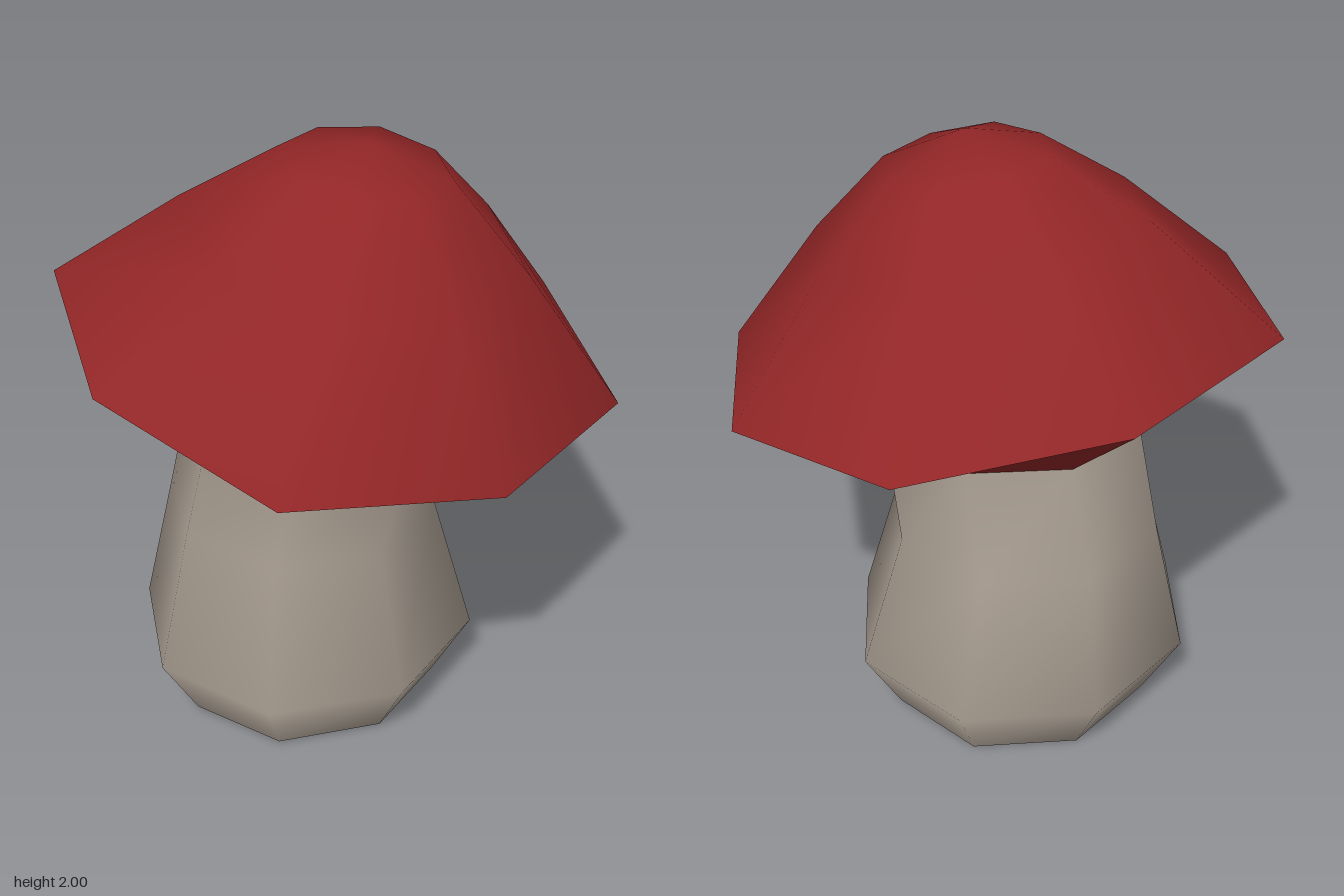
import * as THREE from 'three';
import { mergeVertices } from 'three/addons/utils/BufferGeometryUtils.js';

const SIDES = 8;

// Skin a stack of eight-sided rings, listed so that the faces point outwards.
function loft(rings) {
  const index = [];
  for (let r = 0; r < rings.length - 1; r++) {
    for (let i = 0; i < SIDES; i++) {
      const j = (i + 1) % SIDES;
      const a = r * SIDES + i, b = r * SIDES + j;
      const c = a + SIDES, d = b + SIDES;
      index.push(a, c, b, b, c, d);
    }
  }
  const geometry = new THREE.BufferGeometry();
  geometry.setAttribute('position', new THREE.Float32BufferAttribute(rings.flat(2), 3));
  geometry.setIndex(index);
  const merged = mergeVertices(geometry, 1e-4);
  merged.computeVertexNormals();
  return merged;
}

// Regular ring of the stem, tilted slightly along x.
function stemRing(y, cx, cz, rx, rz, slope = 0) {
  return Array.from({ length: SIDES }, (_, i) => {
    const angle = THREE.MathUtils.degToRad(18 + 45 * i);
    const dx = rx * Math.cos(angle);
    return [cx + dx, y + slope * dx, cz + rz * Math.sin(angle)];
  });
}

// Tilted, slightly uneven brim of the cap.
const brim = [
  [0.81, 1.19, 0.27], [0.42, 1.28, 0.82], [-0.25, 1.4, 0.83], [-0.795, 1.48, 0.43],
  [-0.81, 1.455, -0.245], [-0.42, 1.36, -0.8], [0.25, 1.24, -0.84], [0.79, 1.165, -0.41],
];

// Smaller ring of the cap with the outline of the brim.
function capRing(y, cx, cz, scale, slopeX, slopeZ) {
  return brim.map(([x, , z]) => [
    cx + x * scale,
    y + slopeX * x * scale + slopeZ * z * scale,
    cz + z * scale,
  ]);
}

export function createModel() {
  const red = new THREE.MeshStandardMaterial({ color: 0x922627, side: THREE.DoubleSide });
  red.name = 'cap red';
  const beige = new THREE.MeshStandardMaterial({ color: 0xa89d91, side: THREE.DoubleSide });
  beige.name = 'stem beige';

  const group = new THREE.Group();
  group.name = 'mushroom';
  const add = (name, geometry, material) => {
    const mesh = new THREE.Mesh(geometry, material);
    mesh.name = name;
    group.add(mesh);
  };

  // Bulging stem, open at the foot
  const neck = stemRing(1.08, -0.03, 0.04, 0.437, 0.431, -0.015);
  add('stem', loft([
    stemRing(0.006, -0.095, 0.04, 0.436, 0.463, 0.012),
    stemRing(0.235, -0.097, 0.04, 0.56, 0.589),
    stemRing(0.71, -0.115, 0.04, 0.447, 0.447),
    neck,
  ]), beige);

  // Underside from the neck out to the brim
  add('capUnderside', loft([neck, brim]), red);

  // Domed top closing in a single peak
  add('capTop', loft([
    brim,
    capRing(1.69, 0.07, 0, 0.6, -0.18, 0.03),
    capRing(1.92, 0.09, -0.03, 0.295, -0.14, 0.05),
    Array.from({ length: SIDES }, () => [0.11, 2, -0.01]),
  ]), red);

  return group;
}
